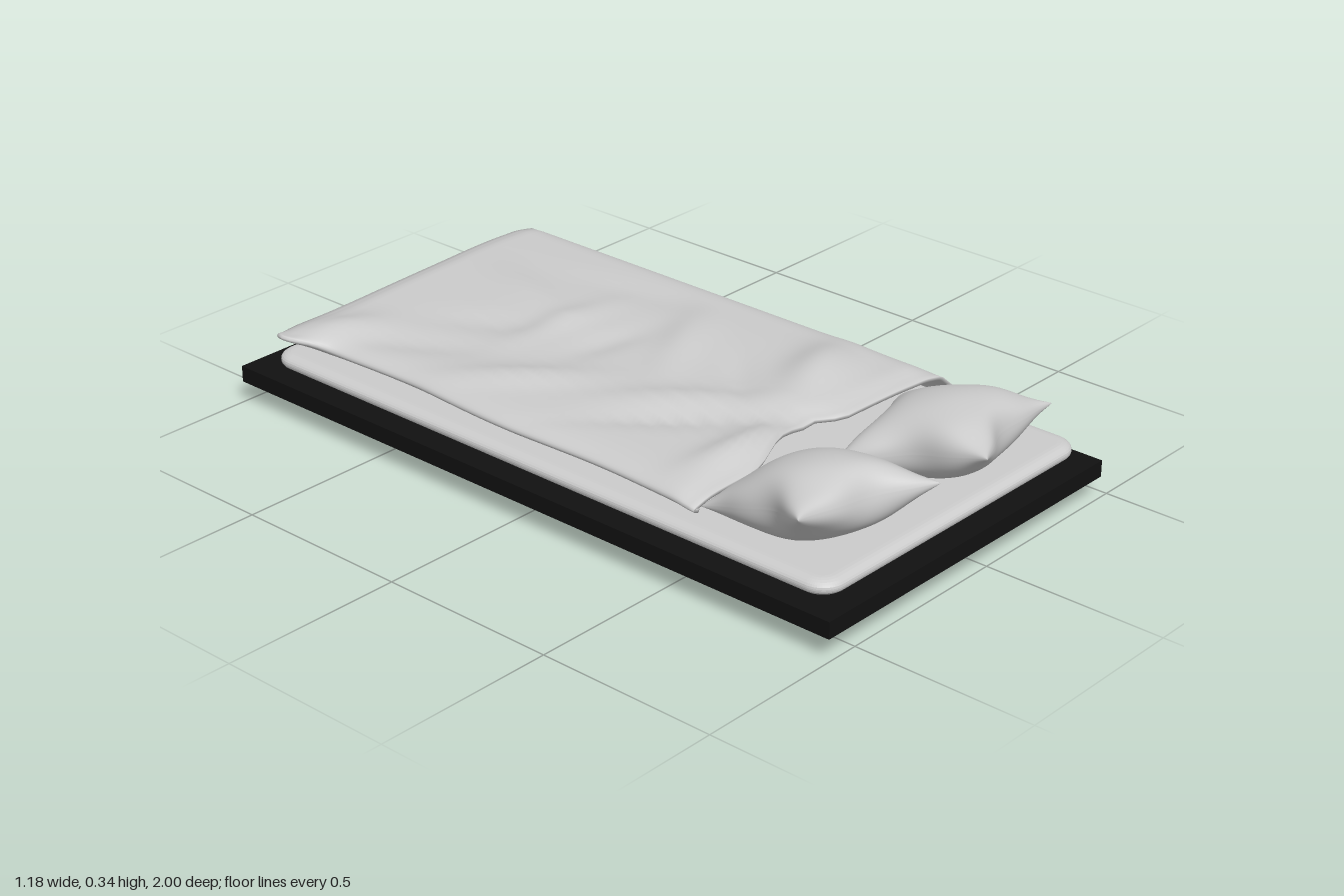
import * as THREE from 'three';
import { mergeVertices } from 'three/addons/utils/BufferGeometryUtils.js';

const { lerp, smoothstep } = THREE.MathUtils;
const fabric = new THREE.MeshStandardMaterial({ color: 0xcccccc, side: THREE.DoubleSide });
const black = new THREE.MeshStandardMaterial({ color: 0x111111 });

// A two-layer cloth: a subdivided slab whose vertices are placed by rule(a, b, side), a and b in -1..1
function cloth(name, nx, nz, rule) {
  let geo = new THREE.BoxGeometry(2, 2, 2, nx, 1, nz);
  geo.deleteAttribute('uv');
  geo.deleteAttribute('normal');
  geo = mergeVertices(geo);
  const pos = geo.attributes.position;
  for (let i = 0; i < pos.count; i++) {
    const p = rule(pos.getX(i), pos.getZ(i), pos.getY(i));
    pos.setXYZ(i, p.x, p.y, p.z);
  }
  geo.computeVertexNormals();
  const mesh = new THREE.Mesh(geo, fabric);
  mesh.name = name;
  return mesh;
}

// Pillow stretched between four corners: back left, back right, front right, front left
function pillow(name, corners, phase) {
  const [bl, br, fr, fl] = corners.map(c => new THREE.Vector3(...c));
  const normal = fr.clone().sub(bl).cross(br.clone().sub(fl)).normalize();
  return cloth(name, 40, 40, (a, b, side) => {
    const s = Math.sin(a * Math.PI / 2), t = Math.sin(b * Math.PI / 2);
    // sides bow inwards and wave a little, corners stay pointed
    const bow = r => (1 - r * r) * (0.17 + 0.04 * Math.sin(5 * r + phase));
    const u = 0.5 + 0.5 * s * (1 - bow(t) * s * s);
    const v = 0.5 + 0.5 * t * (1 - bow(s) * t * t);
    const p = bl.clone().lerp(br, u).lerp(fl.clone().lerp(fr, u), v);
    // full, rounded filling with a few soft dents near the seams
    const puff = Math.pow((1 - s * s) * (1 - t * t), 0.46);
    const dent = 1 - 0.1 * (s * s + t * t) * (1 + Math.sin(4 * s + phase) * Math.cos(5 * t - phase));
    p.addScaledVector(normal, side * (0.1 * puff * dent + 0.001));
    p.y = Math.max(p.y, 0.151);
    return p;
  });
}

// Blanket folds: x, z, direction (radians from +x towards +z), half length, half width, height
const folds = [
  [0.24, 0.28, -0.35, 0.17, 0.08, 0.038], [-0.22, 0.41, 0.1, 0.15, 0.05, 0.026],
  [-0.02, 0.37, 0.8, 0.07, 0.05, -0.012], [-0.2, 0.2, 0.85, 0.24, 0.025, -0.014],
  [-0.13, 0.12, 0.9, 0.2, 0.05, 0.022], [0.08, 0.15, -0.8, 0.14, 0.035, -0.01],
  [0.15, -0.1, -0.5, 0.18, 0.06, 0.018], [-0.28, -0.25, 0.9, 0.2, 0.05, 0.02],
  [0.0, -0.25, 0.2, 0.12, 0.05, -0.012], [0.02, -0.42, 0.1, 0.16, 0.05, 0.014],
  [-0.1, -0.55, 1.1, 0.15, 0.05, -0.012], [0.1, -0.62, 1.9, 0.2, 0.06, 0.014],
  [-0.33, -0.62, 1.1, 0.2, 0.05, -0.012], [-0.42, -0.84, 0.5, 0.12, 0.07, 0.028],
  [0.3, -0.4, 1.4, 0.2, 0.06, -0.008],
];
function foldHeight(x, z) {
  let h = 0;
  for (const [fx, fz, dir, len, wid, amp] of folds) {
    const dx = x - fx, dz = z - fz, c = Math.cos(dir), s = Math.sin(dir);
    h += amp * Math.exp(-(((dx * c + dz * s) / len) ** 2) - (((dz * c - dx * s) / wid) ** 2));
  }
  return h;
}

// Cross-section of the blanket from its tucked edge to the hem hanging over the side
function blanketPoint(a, b) {
  const v = (b + 1) / 2; // 0 at the foot, 1 at the pillows
  const zc = lerp(-0.97, 0.49, v);
  const corner = Math.exp(-(((zc + 0.9) / 0.07) ** 2));
  const xl = -0.465 - 0.08 * corner - 0.015 * v + 0.006 * Math.sin(9 * zc);
  const xr = 0.527 + 0.035 * v + 0.026 * v ** 8 - 0.02 * smoothstep(1 - v, 0.96, 1);
  const hem = 0.006 + 0.014 * v * v + 0.035 * smoothstep(v, 0.88, 1) + 0.015 * smoothstep(1 - v, 0.75, 1);
  const curve = new THREE.CatmullRomCurve3([
    [xl + 0.015, 0.165 + 0.03 * corner], [xl, 0.178 + 0.03 * corner], [xl + 0.04, 0.196], [-0.2, 0.2],
    [0.1, 0.2], [0.36, 0.197], [0.45, 0.186], [lerp(0.51, 0.515, v), 0.14],
    [xr - 0.006, 0.07], [xr - 0.018, hem],
  ].map(([x, y]) => new THREE.Vector3(x, y, 0)));
  const p = curve.getPoint((a + 1) / 2);
  const x = p.x, top = smoothstep(p.y, 0.16, 0.195);
  const back = lerp(-0.95, -0.985, smoothstep(x, -0.5, 0.5));
  // head edge dips towards the middle, then steps back out
  const front = 0.5 - 0.07 * smoothstep(x, -0.3, -0.04) + 0.045 * smoothstep(x, 0.03, 0.11) + 0.012 * smoothstep(x, 0.1, 0.5);
  p.z = lerp(back, front, v);
  p.y += top * foldHeight(x, p.z);
  // foot and head edges sink a little
  p.y -= top * (0.014 * smoothstep(v, 0.95, 1) + 0.015 * smoothstep(1 - v, 0.96, 1));
  return p;
}

function blanket() {
  const e = 0.01;
  return cloth('blanket', 64, 80, (a, b, side) => {
    const p = blanketPoint(a, b);
    const a0 = Math.max(-1, a - e), a1 = Math.min(1, a + e);
    const b0 = Math.max(-1, b - e), b1 = Math.min(1, b + e);
    const du = blanketPoint(a1, b).sub(blanketPoint(a0, b));
    const dv = blanketPoint(a, b1).sub(blanketPoint(a, b0));
    return p.addScaledVector(dv.cross(du).normalize(), side * 0.005);
  });
}

// Thin mattress with rounded corners and soft, tapering edges
function mattress() {
  const w = 0.465, d = 0.91, r = 0.03, bevel = 0.035;
  const s = new THREE.Shape();
  s.absarc(w - r, d - r, r, 0, Math.PI / 2);
  s.absarc(-w + r, d - r, r, Math.PI / 2, Math.PI);
  s.absarc(-w + r, -d + r, r, Math.PI, Math.PI * 1.5);
  s.absarc(w - r, -d + r, r, Math.PI * 1.5, Math.PI * 2);
  const geo = new THREE.ExtrudeGeometry(s, {
    depth: 0.004, bevelThickness: 0.019, bevelSize: bevel, bevelSegments: 6, curveSegments: 8,
  });
  geo.rotateX(-Math.PI / 2);
  const mesh = new THREE.Mesh(geo, fabric);
  mesh.position.set(-0.04, 0.129, 0);
  mesh.name = 'mattress';
  return mesh;
}

export function createModel() {
  const model = new THREE.Group();
  model.name = 'bed';

  const base = new THREE.Mesh(new THREE.BoxGeometry(1.065, 0.045, 2), black);
  base.position.set(-0.0625, 0.0875, 0);
  base.name = 'base';

  model.add(
    base,
    mattress(),
    blanket(),
    pillow('rightPillow', [[-0.45, 0.165, 0.49], [-0.08, 0.165, 0.59], [-0.165, 0.285, 0.975], [-0.555, 0.305, 0.87]], 0.5),
    pillow('leftPillow', [[-0.09, 0.18, 0.6], [0.31, 0.165, 0.49], [0.41, 0.25, 0.88], [0.01, 0.28, 0.98]], 2),
  );
  return model;
}
